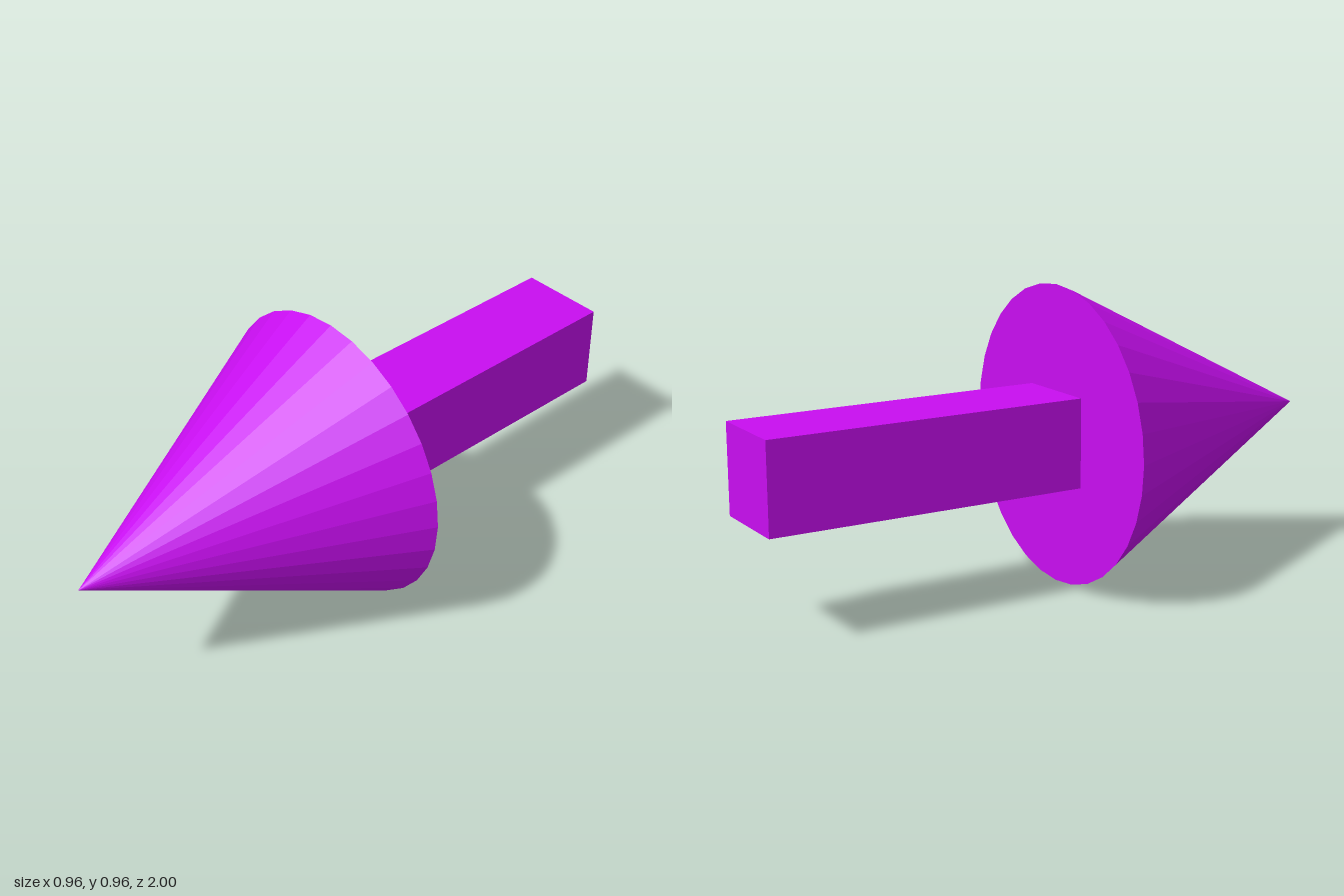
import * as THREE from 'three';

export function createModel() {
  const group = new THREE.Group();
  group.name = 'arrow';
  const material = new THREE.MeshStandardMaterial({ color: 0xc80ef0, flatShading: true });

  const axisY = 0.48;
  const baseZ = 0.043;
  const halfLength = 1;

  const addPart = (name, geometry, z) => {
    const mesh = new THREE.Mesh(geometry, material);
    mesh.name = name;
    mesh.position.set(0, axisY, z);
    group.add(mesh);
  };

  // Faceted cone pointing to the front
  const headLength = halfLength - baseZ;
  const head = new THREE.ConeGeometry(0.479, headLength, 32).rotateX(Math.PI / 2);
  addPart('arrowHead', head, baseZ + headLength / 2);

  // Square shaft running back from the cone's base
  const shaftLength = halfLength + baseZ;
  addPart('shaft', new THREE.BoxGeometry(0.285, 0.285, shaftLength), baseZ - shaftLength / 2);

  return group;
}
